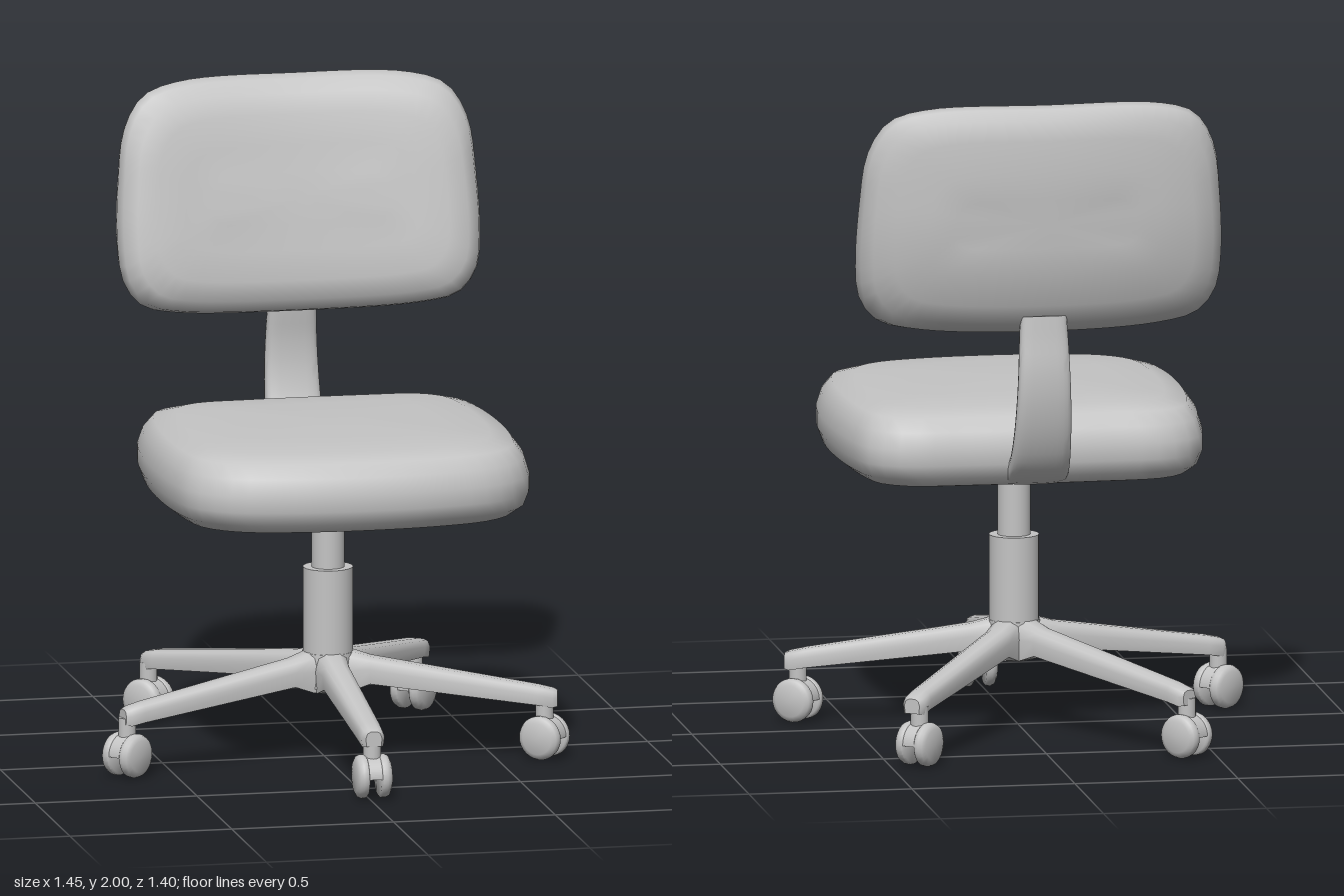
import * as THREE from 'three';
import { toCreasedNormals } from 'three/addons/utils/BufferGeometryUtils.js';

const V = (x, y, z) => new THREE.Vector3(x, y, z);

// Skin a list of equal-length closed rings, with a fan cap at both ends
function loft(rings, crease = 0) {
  const n = rings[0].length, pos = [], idx = [];
  rings.forEach(r => r.forEach(p => pos.push(p.x, p.y, p.z)));
  for (let i = 0; i < rings.length - 1; i++) {
    for (let j = 0; j < n; j++) {
      const a = i * n + j, b = i * n + (j + 1) % n;
      idx.push(a, b, a + n, b, b + n, a + n);
    }
  }
  const cap = (k, flip) => {
    const c = V(0, 0, 0);
    rings[k].forEach(p => c.addScaledVector(p, 1 / n));
    const ci = pos.length / 3;
    pos.push(c.x, c.y, c.z);
    for (let j = 0; j < n; j++) {
      const a = k * n + j, b = k * n + (j + 1) % n;
      idx.push(...(flip ? [ci, b, a] : [ci, a, b]));
    }
  };
  cap(0, true);
  cap(rings.length - 1, false);
  // Turn the faces outwards if the rings ran the other way
  const at = i => V(pos[3 * i], pos[3 * i + 1], pos[3 * i + 2]);
  let volume = 0;
  for (let i = 0; i < idx.length; i += 3) volume += at(idx[i]).dot(at(idx[i + 1]).cross(at(idx[i + 2])));
  if (volume < 0) idx.reverse();
  const g = new THREE.BufferGeometry();
  g.setAttribute('position', new THREE.Float32BufferAttribute(pos, 3));
  g.setIndex(idx);
  g.computeVertexNormals();
  return crease ? toCreasedNormals(g, crease) : g;
}

// Closed smooth outline from the points of its +x half, first and last on the axis
function outline(half, count = 72) {
  const mirrored = half.slice(1, -1).reverse().map(([x, y]) => [-x, y]);
  const pts = [...half, ...mirrored].map(([x, y]) => V(x, y, 0));
  return new THREE.CatmullRomCurve3(pts, true, 'centripetal').getSpacedPoints(count).slice(0, count);
}

export function createModel() {
  const grey = new THREE.MeshStandardMaterial({ color: 0xc4c4c4 });
  grey.name = 'plain grey';
  const chair = new THREE.Group();
  chair.name = 'officeChair';
  const add = (name, geometry, parent = chair) => {
    const m = new THREE.Mesh(geometry, grey);
    m.name = name;
    parent.add(m);
    return m;
  };
  const cx = 0.012;

  // Seat cushion: outline in x, z stacked in layers of [inset, height]
  const seatLine = outline([[0, 0.615], [0.25, 0.597], [0.42, 0.55], [0.515, 0.46], [0.552, 0.3],
    [0.56, 0], [0.535, -0.25], [0.505, -0.35], [0.42, -0.415], [0.22, -0.43], [0, -0.433]]);
  const seatLayers = [[0.45, 0.787], [0.3, 0.79], [0.1, 0.8], [0.05, 0.81], [0.015, 0.838], [0, 0.88],
    [0, 0.93], [0.015, 0.98], [0.045, 1.02], [0.11, 1.041], [0.25, 1.051], [0.45, 1.055]];
  add('seat', loft(seatLayers.map(([d, y]) => seatLine.map(p =>
    V(cx + p.x * (1 - d / 0.56), y, 0.09 + (p.y - 0.09) * (1 - d / 0.525))))));

  // Backrest: outline in x, y with layers of [depth fraction, inset], leaning and wrapped forward
  const backLine = outline([[0, 2], [0.36, 1.992], [0.47, 1.955], [0.53, 1.86], [0.553, 1.7],
    [0.56, 1.5], [0.545, 1.4], [0.49, 1.33], [0.38, 1.302], [0, 1.287]]);
  const backLayers = [[0, 0.28], [0, 0.2], [0.02, 0.11], [0.1, 0.05], [0.28, 0.012], [0.5, 0],
    [0.74, 0.008], [0.9, 0.04], [0.98, 0.1], [1, 0.2], [1, 0.28]];
  add('backrest', loft(backLayers.map(([t, d]) => backLine.map(p => {
    const x = p.x * (1 - d / 0.56), y = 1.643 + (p.y - 1.643) * (1 - d / 0.357);
    const front = -0.345 - 0.2 * (y - 1.42) + 0.15 * x * x;
    const back = -0.6 + 0.4 * Math.max(0, 1.7 - y) ** 2 + 0.2 * x * x;
    return V(cx + x, y, THREE.MathUtils.lerp(front, back, t));
  }))));

  // Curved support between seat and backrest
  const path = new THREE.CatmullRomCurve3([[0.83, -0.28], [0.838, -0.38], [0.885, -0.452], [0.97, -0.5],
    [1.08, -0.528], [1.18, -0.533], [1.28, -0.522], [1.35, -0.515]].map(([y, z]) => V(cx, y, z)));
  const postRings = [];
  for (let i = 0; i <= 24; i++) {
    const c = path.getPoint(i / 24), tan = path.getTangent(i / 24);
    const out = V(0, -tan.z, tan.y), w = THREE.MathUtils.lerp(0.1, 0.07, i / 24), ring = [];
    for (let j = 0; j < 24; j++) {
      const a = j / 24 * Math.PI * 2, soft = v => Math.sign(v) * Math.abs(v) ** 0.55;
      const p = c.clone().addScaledVector(out, 0.03 * soft(Math.sin(a)));
      p.x += w * soft(Math.cos(a));
      ring.push(p);
    }
    postRings.push(ring);
  }
  add('backSupport', loft(postRings, 0.9));

  // Gas column, mounting plate and hub
  const cylinder = (name, rTop, rBottom, y0, y1, sides = 32) => {
    const m = add(name, new THREE.CylinderGeometry(rTop, rBottom, y1 - y0, sides));
    m.position.set(cx, (y0 + y1) / 2, 0);
    return m;
  };
  cylinder('upperColumn', 0.05, 0.05, 0.57, 0.79);
  cylinder('lowerColumn', 0.076, 0.076, 0.3, 0.585);
  cylinder('hub', 0.078, 0.085, 0.22, 0.325);
  cylinder('seatPlate', 0.1, 0.075, 0.768, 0.795, 4).rotation.y = Math.PI / 4;

  // Shared caster geometry, rolling along z
  const wheelProfile = [[0, 0.018], [0.06, 0.018], [0.066, 0.023], [0.067, 0.036], [0.062, 0.047],
    [0.048, 0.054], [0, 0.056]].map(([r, y]) => new THREE.Vector2(r, y));
  const wheel = toCreasedNormals(new THREE.LatheGeometry(wheelProfile, 28), 0.8);
  const coverShape = new THREE.Shape();
  coverShape.absarc(0, 0, 0.063, 0, Math.PI, false);
  const cover = new THREE.ExtrudeGeometry(coverShape, { depth: 0.04, bevelEnabled: false, curveSegments: 20 });
  cover.translate(0, 0, -0.02).rotateY(Math.PI / 2);
  const stem = new THREE.CylinderGeometry(0.027, 0.027, 0.07, 20);

  // Legs with twin-wheel casters: [caster x, caster z, rolling x, rolling z]
  const feet = [[0, 0.635, 0, 1]];
  for (const s of [1, -1]) feet.push([s * 0.645, 0.17, s * 0.78, 0.62], [s * 0.41, -0.62, s * 0.68, -0.73]);
  for (const [x, z, rx, rz] of feet) {
    const tip = Math.hypot(x, z) + 0.028;
    // Leg stations: [distance, bottom, top, half width]
    const stations = [[0, 0.2, 0.33, 0.055], [0.07, 0.208, 0.328, 0.053], [0.13, 0.23, 0.31, 0.045],
      [tip - 0.06, 0.168, 0.225, 0.038], [tip - 0.015, 0.16, 0.215, 0.036], [tip, 0.163, 0.208, 0.025]];
    const leg = add('leg', loft(stations.map(([r, b, t, w]) => {
      const m = b + (t - b) * 0.55, q = b + (t - b) * 0.88;
      return [[-w * 0.9, b], [w * 0.9, b], [w, m], [w * 0.8, q], [w * 0.4, t],
        [-w * 0.4, t], [-w * 0.8, q], [-w, m]].map(([px, py]) => V(px, py, r));
    }), 0.85));
    leg.position.x = cx;
    leg.rotation.y = Math.atan2(x, z);

    const caster = new THREE.Group();
    caster.name = 'caster';
    caster.position.set(x + (x ? 0 : cx), 0.067, z);
    caster.rotation.y = Math.atan2(rx, rz);
    for (const s of [1, -1]) add('wheel', wheel, caster).rotation.z = -s * Math.PI / 2;
    add('wheelCover', cover, caster);
    add('casterStem', stem, caster).position.y = 0.08;
    chair.add(caster);
  }
  return chair;
}
